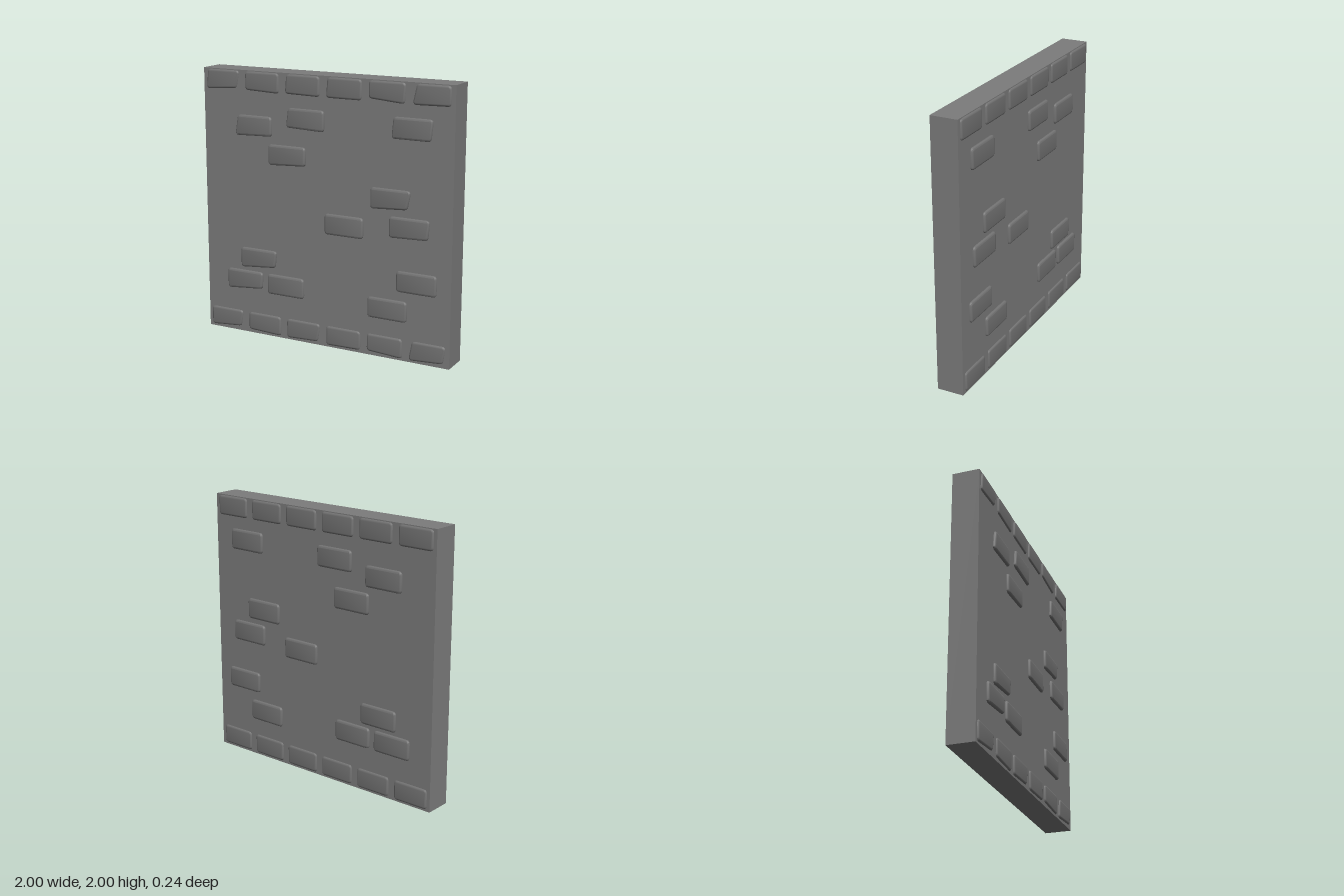
import * as THREE from 'three';
import { toCreasedNormals } from 'three/addons/utils/BufferGeometryUtils.js';

const wallMaterial = new THREE.MeshStandardMaterial({ color: 0x7c7c7c });
const brickMaterial = new THREE.MeshStandardMaterial({ color: 0x737373 });
const BEVEL = 0.015;
const HALF_WALL = 0.1;

// Outline through four corners, with each corner rounded off
function roundedQuad(corners, radius) {
  const pts = corners.map(([x, y]) => new THREE.Vector2(x, y));
  const toward = (a, b) => a.clone().add(b.clone().sub(a).setLength(radius));
  const shape = new THREE.Shape();
  pts.forEach((p, i) => {
    const start = toward(p, pts[(i + 3) % 4]);
    const end = toward(p, pts[(i + 1) % 4]);
    if (i === 0) shape.moveTo(start.x, start.y);
    else shape.lineTo(start.x, start.y);
    shape.quadraticCurveTo(p.x, p.y, end.x, end.y);
  });
  shape.closePath();
  return shape;
}

// A bevelled brick face standing out of the wall; the chips pull corners inward
function brickFace(halfW, halfH, relief, [topLeft, bottomRight, raiseLeft, raiseRight]) {
  const w = halfW - BEVEL, h = halfH - BEVEL;
  const shape = roundedQuad([
    [-w, -h + raiseLeft], [w - bottomRight, -h + raiseRight], [w, h], [-w + topLeft, h],
  ], 0.012);
  const sunk = 0.04;
  const geometry = new THREE.ExtrudeGeometry(shape, {
    depth: sunk + relief - 2 * BEVEL, bevelThickness: BEVEL, bevelSize: BEVEL,
    bevelSegments: 3, curveSegments: 3,
  });
  geometry.translate(0, 0, HALF_WALL - sunk + BEVEL);
  return toCreasedNormals(geometry, 0.6);
}

// One brick: chipped face at the front, regular face at the back
function makeBrick(name, x, y, halfW, halfH, relief, chips) {
  const brick = new THREE.Group();
  brick.name = name;
  const front = new THREE.Mesh(brickFace(halfW, halfH, relief, chips), brickMaterial);
  front.name = 'frontFace';
  const back = new THREE.Mesh(brickFace(halfW, halfH, relief, [0, 0, 0, 0]), brickMaterial);
  back.name = 'backFace';
  back.rotation.y = Math.PI;
  brick.add(front, back);
  brick.position.set(x, y, 0);
  return brick;
}

// Chips per brick: top left in, bottom right in, bottom left up, bottom right up
const topRow = [
  [0.011, 0.021, 0, 0.016], [0, 0, 0.01, 0], [0.01, 0, 0.005, 0],
  [0.01, 0, 0, 0], [0, 0.005, 0.02, 0], [0.026, 0, 0, 0.005],
];
const bottomRow = [
  [0, 0.016, 0, 0.02], [0, 0, 0.01, 0], [0, 0.016, 0, 0.01],
  [0, 0, 0, 0.005], [0, 0, 0.015, 0], [0.021, 0.016, 0, 0.015],
];
// Scattered bricks: x, y, then chips
const scattered = [
  [-0.575, 1.597, 0.02, 0, 0, 0.01], [-0.145, 1.676, 0.015, 0, 0.01, 0],
  [0.69, 1.68, 0.012, 0.012, 0, 0], [-0.297, 1.398, 0, 0, 0, 0.015],
  [0.532, 1.17, 0, 0.022, 0, 0.016], [0.168, 0.935, 0, 0, 0, 0],
  [0.679, 0.977, 0, 0.01, 0, 0.01], [-0.545, 0.592, 0, 0.012, 0, 0.025],
  [-0.666, 0.412, 0, 0.006, 0, 0.025], [-0.316, 0.412, 0, 0, 0, 0],
  [0.74, 0.589, 0, 0, 0, 0], [0.516, 0.367, 0, 0, 0, 0],
];

export function createModel() {
  const model = new THREE.Group();
  model.name = 'brickWall';

  // Plain wall slab
  const slab = new THREE.Mesh(new THREE.BoxGeometry(2, 2, 2 * HALF_WALL), wallMaterial);
  slab.name = 'wallSlab';
  slab.position.y = 1;
  model.add(slab);

  // Even rows along the top and bottom edges
  for (const [name, y, row] of [['topRowBrick', 1.92, topRow], ['bottomRowBrick', 0.088, bottomRow]]) {
    row.forEach((chips, i) => {
      model.add(makeBrick(name, -0.835 + i * 0.333, y, 0.141, 0.074, 0.011, chips));
    });
  }

  // Loose bricks showing across the middle
  for (const [x, y, ...chips] of scattered) {
    model.add(makeBrick('scatteredBrick', x, y, 0.154, 0.077, 0.018, chips));
  }
  return model;
}
